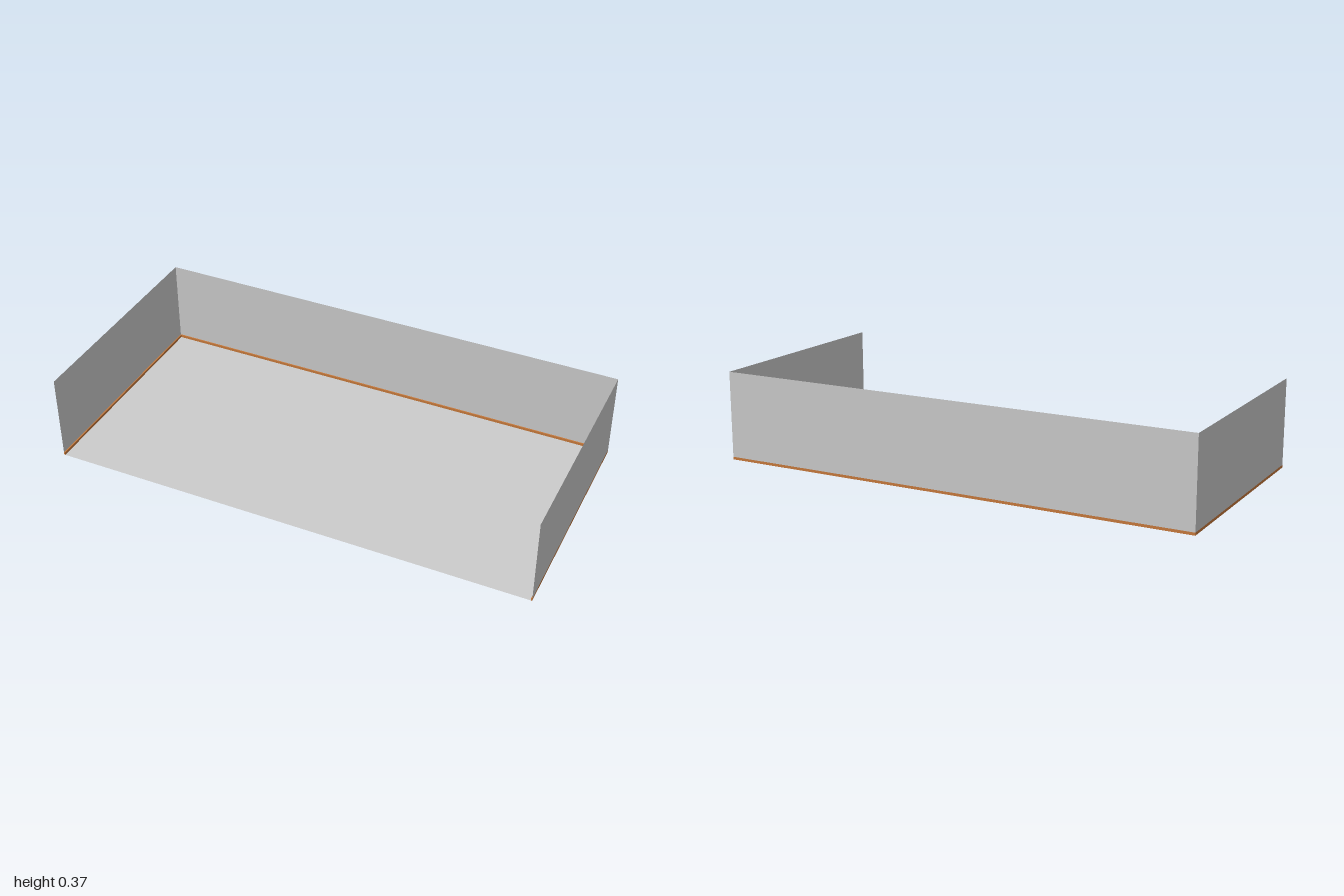
import * as THREE from 'three';

const W = 2, D = 0.95, H = 0.365; // overall width, depth, height
const SKIRT = 0.011, T = 0.005;   // skirting height and thickness

export function createModel() {
  const group = new THREE.Group();
  const grey = new THREE.MeshStandardMaterial({ color: 0xcccccc, side: THREE.DoubleSide });
  const wood = new THREE.MeshStandardMaterial({ color: 0xc87a3c });

  const add = (name, geometry, material, x, y, z) => {
    const mesh = new THREE.Mesh(geometry, material);
    mesh.name = name;
    mesh.position.set(x, y, z);
    group.add(mesh);
    return mesh;
  };

  // Floor, fitted inside the skirting
  add('floor', new THREE.PlaneGeometry(W - 2 * T, D - T), grey, 0, 0, T / 2).rotation.x = -Math.PI / 2;

  // Thin walls standing on the skirting, open at the front
  const wallH = H - SKIRT, wallY = SKIRT + wallH / 2;
  add('backWall', new THREE.PlaneGeometry(W, wallH), grey, 0, wallY, -D / 2);
  add('backSkirting', new THREE.BoxGeometry(W - 2 * T, SKIRT, T), wood, 0, SKIRT / 2, -D / 2 + T / 2);

  for (const [side, s] of [['left', 1], ['right', -1]]) {
    add(side + 'Wall', new THREE.PlaneGeometry(D, wallH), grey, s * W / 2, wallY, 0).rotation.y = s * Math.PI / 2;
    add(side + 'Skirting', new THREE.BoxGeometry(T, SKIRT, D), wood, s * (W - T) / 2, SKIRT / 2, 0);
  }

  return group;
}
